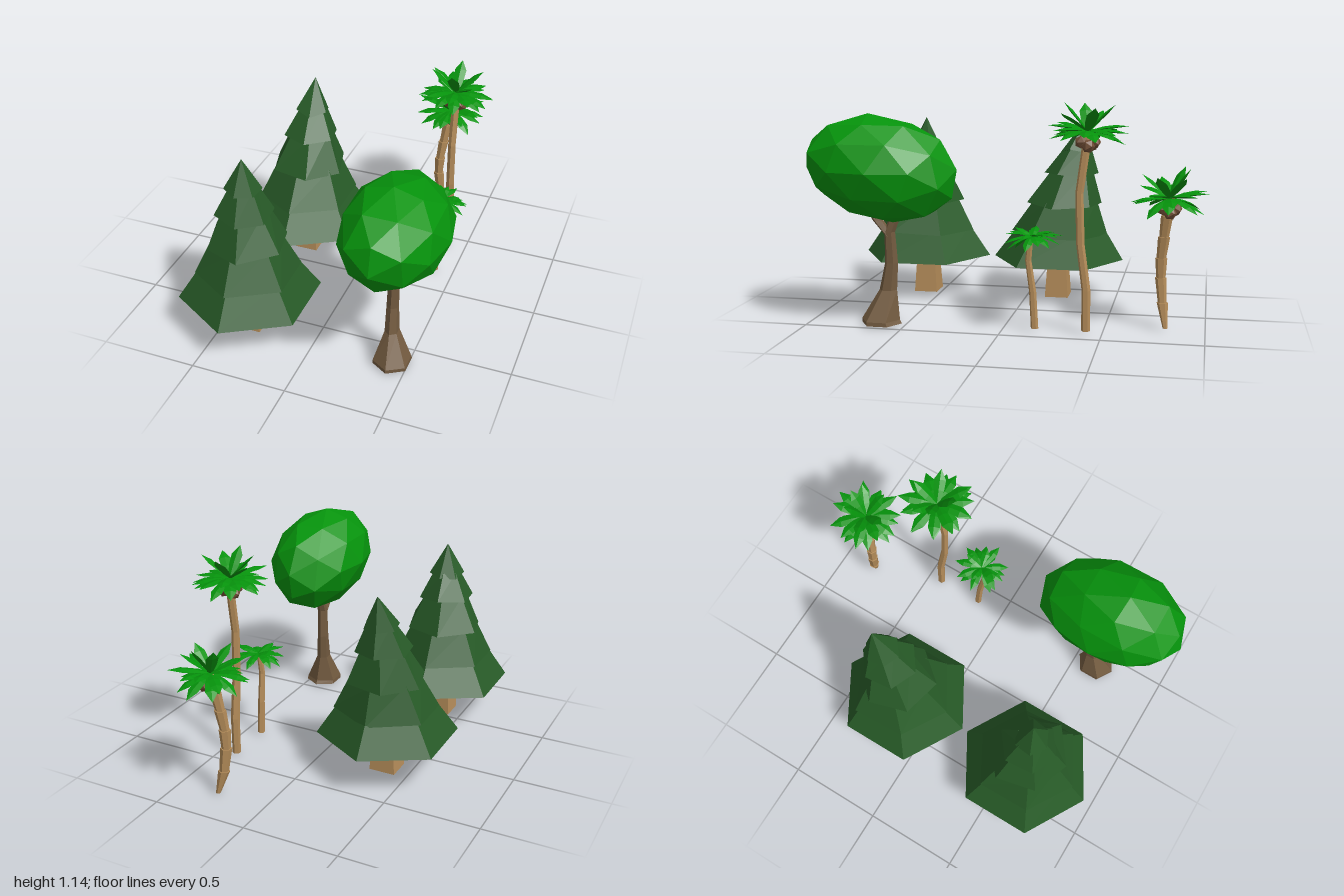
import * as THREE from 'three';
import { mergeGeometries } from 'three/addons/utils/BufferGeometryUtils.js';

const mat = (color) => new THREE.MeshStandardMaterial({ color, flatShading: true });
const needles = mat(0x275a27), bark = mat(0xb58d5a), darkBark = mat(0x735b40);
const leaves = mat(0x06940c), palmBark = mat(0xb58d5a), nutBrown = mat(0x735038);

// Repeatable irregularity in -1..1
const wobble = (n) => {
  const s = Math.sin(n * 12.9898 + 4.1) * 43758.5453;
  return (s - Math.floor(s)) * 2 - 1;
};

function add(parent, name, geometry, material) {
  const mesh = new THREE.Mesh(geometry, material);
  mesh.name = name;
  parent.add(mesh);
  return mesh;
}

// Moves every vertex by rule(v)
function reshape(geometry, rule) {
  const p = geometry.attributes.position, v = new THREE.Vector3();
  for (let i = 0; i < p.count; i++) {
    v.fromBufferAttribute(p, i);
    rule(v);
    p.setXYZ(i, v.x, v.y, v.z);
  }
  geometry.computeVertexNormals();
  return geometry;
}

// Closed limb through rings [x, y, z, rx, rz], listed from bottom to top
function limb(rings, sides) {
  const n = rings.length - 1;
  return reshape(new THREE.CylinderGeometry(1, 1, 1, sides, n), (v) => {
    const [x, y, z, rx, rz] = rings[Math.round((v.y + 0.5) * n)];
    v.set(x + v.x * rx, y, z + v.z * rz);
  });
}

// Six-sided tiers; lean shifts the upper tiers along z
function conifer(name, x, z, lean, seed) {
  const tree = new THREE.Group();
  tree.name = name;
  tree.position.set(x, 0, z);
  const trunk = reshape(new THREE.BoxGeometry(0.14, 0.34, 0.13), (v) => {
    if (v.y > 0) { v.x *= 0.66; v.z *= 0.66; }
    v.y += 0.17;
  });
  add(tree, 'coniferTrunk', trunk, bark);

  // bottom y, top y, bottom radius, top radius
  const tiers = [
    [0.215, 0.39, 0.365, 0.245],
    [0.365, 0.55, 0.275, 0.175],
    [0.535, 0.72, 0.215, 0.115],
    [0.70, 0.85, 0.15, 0.07],
    [0.83, 1.0, 0.092, 0],
  ];
  tiers.forEach(([y0, y1, r0, r1], i) => {
    const g = new THREE.CylinderGeometry(r1, r0, y1 - y0, 6);
    if (i > 1) g.rotateY(wobble(seed + i) * 0.3);
    reshape(g, (v) => {
      const rim = v.y < 0 && Math.hypot(v.x, v.z) > 0.01;
      // ragged lower rim on all but the first tier
      if (rim && i > 0) {
        const corner = Math.round(Math.atan2(v.x, v.z) * 3 / Math.PI + 6) % 6;
        const k = wobble(seed + i * 7 + corner);
        v.x *= 1 + k * 0.06;
        v.z *= 1 + k * 0.06;
        v.y += k * 0.015;
      }
      v.y += (y0 + y1) / 2;
      v.z += lean * Math.pow(Math.max(0, (v.y - 0.22) / 0.78), 1.5);
    });
    add(tree, 'needleTier' + (i + 1), g, needles);
  });
  return tree;
}

function roundTree() {
  const tree = new THREE.Group();
  tree.name = 'roundTree';
  add(tree, 'flaredTrunk', limb([
    [0.42, 0.01, 0.62, 0.1, 0.105],
    [0.42, 0.03, 0.625, 0.098, 0.1],
    [0.405, 0.18, 0.588, 0.036, 0.046],
    [0.40, 0.32, 0.57, 0.031, 0.034],
    [0.405, 0.48, 0.575, 0.028, 0.028],
    [0.405, 0.60, 0.53, 0.026, 0.028],
  ], 6), darkBark);
  add(tree, 'fork', limb([
    [0.405, 0.46, 0.575, 0.026, 0.026],
    [0.405, 0.535, 0.635, 0.026, 0.028],
    [0.41, 0.62, 0.69, 0.02, 0.02],
  ], 5), darkBark);
  // slightly uneven faceted ellipsoid
  const crown = reshape(new THREE.IcosahedronGeometry(1, 1), (v) => {
    const key = Math.round(v.x * 50) + Math.round(v.y * 50) * 3 + Math.round(v.z * 50) * 7;
    const flat = Math.max(Math.abs(v.x), Math.abs(v.y), Math.abs(v.z)) > 0.99;
    if (!flat) v.multiplyScalar(1 + 0.03 * wobble(key));
    v.set(0.425 + v.x * 0.263, 0.803 + v.y * 0.272, 0.61 + v.z * 0.39 + v.y * 0.06);
  });
  add(tree, 'crown', crown, leaves);
  return tree;
}

// One lens-shaped frond from the origin
function frond(length, width, elevation, azimuth, droop) {
  const profile = [[0, 0], [0.4, 0], [0.9, 0.4], [1, 0.7], [0, 1]]
    .map(([r, t]) => new THREE.Vector2(r * width / 2, t * length));
  const g = reshape(new THREE.LatheGeometry(profile, 4), (v) => {
    // thin blade; its lower side follows the droop
    v.z = v.z * 0.25 + droop * (v.y / length) ** 2;
  });
  return g.rotateX(Math.PI / 2 - elevation).rotateY(azimuth);
}

// Layers of fronds: [count, reach, elevation, spread of elevation, droop]
const fullCrown = [
  [11, 1.0, 0.2, 0.22, 0.17],
  [9, 0.95, -0.08, 0.2, 0.22],
  [6, 0.93, 0.8, 0.25, 0.04],
];
const flatCrown = [
  [9, 1.0, 0.22, 0.15, 0.3],
  [7, 0.95, 0.0, 0.2, 0.36],
  [4, 0.75, 0.4, 0.15, 0.1],
];

// size is the reach of the fronds; crown = [x, y, z]
function palm(name, trunkRings, crown, size, seed, layers, hasNuts, segmented) {
  const tree = new THREE.Group();
  tree.name = name;
  if (segmented) {
    // stacked sections, each flaring towards its top
    for (let i = 0; i < trunkRings.length - 1; i++) {
      const a = trunkRings[i], b = trunkRings[i + 1];
      const foot = [a[0], a[1], a[2], a[3] * 0.8, a[4] * 0.8];
      add(tree, 'trunkSection' + (i + 1), limb([foot, b], 6), palmBark);
    }
  } else add(tree, 'palmTrunk', limb(trunkRings, 6), palmBark);

  const blades = [];
  layers.forEach(([count, reach, elevation, spread, droop], layer) => {
    for (let i = 0; i < count; i++) {
      const k = seed + layer * 20 + i;
      const turn = (i + layer * 0.45 + 0.25 * wobble(k)) / count * Math.PI * 2;
      blades.push(frond(size * reach * (1 + 0.05 * wobble(k * 5)), size * 0.31,
        elevation + spread * wobble(k * 3), turn, size * droop));
    }
  });
  add(tree, 'fronds', mergeGeometries(blades), leaves).position.set(...crown);

  if (hasNuts) {
    for (let i = 0; i < 5; i++) {
      const a = i * Math.PI * 0.4 + 0.5;
      const nut = add(tree, 'nut' + (i + 1), new THREE.IcosahedronGeometry(0.034, 0), nutBrown);
      nut.position.set(crown[0] + Math.sin(a) * 0.032, crown[1] - 0.05 - 0.018 * (i % 2), crown[2] + Math.cos(a) * 0.032);
      nut.rotation.set(i, i * 2, 0);
    }
  }
  return tree;
}

export function createModel() {
  const model = new THREE.Group();
  model.name = 'treeSet';
  model.add(conifer('frontConifer', -0.365, 0.59, 0, 1));
  model.add(conifer('backConifer', -0.365, -0.17, -0.15, 5));
  model.add(roundTree());

  model.add(palm('tallPalm', [
    [0.40, 0.015, -0.42, 0.022, 0.022],
    [0.40, 0.22, -0.42, 0.024, 0.022],
    [0.40, 0.45, -0.39, 0.022, 0.021],
    [0.40, 0.70, -0.383, 0.021, 0.02],
    [0.40, 0.90, -0.41, 0.021, 0.021],
    [0.40, 1.0, -0.42, 0.02, 0.02],
  ], [0.395, 1.0, -0.42], 0.198, 3, fullCrown, true, false));

  model.add(palm('middlePalm', [
    [0.267, 0.01, -0.803, 0.015, 0.015],
    [0.238, 0.135, -0.785, 0.031, 0.028],
    [0.226, 0.26, -0.775, 0.03, 0.029],
    [0.23, 0.36, -0.775, 0.03, 0.03],
    [0.243, 0.47, -0.787, 0.03, 0.03],
    [0.26, 0.58, -0.80, 0.03, 0.03],
    [0.27, 0.67, -0.81, 0.026, 0.026],
  ], [0.273, 0.668, -0.81], 0.194, 11, fullCrown, true, true));

  model.add(palm('smallPalm', [
    [0.40, 0.015, -0.165, 0.019, 0.019],
    [0.40, 0.20, -0.155, 0.018, 0.018],
    [0.403, 0.36, -0.133, 0.016, 0.016],
    [0.41, 0.48, -0.145, 0.014, 0.014],
  ], [0.41, 0.482, -0.155], 0.142, 17, flatCrown, false, false));
  return model;
}
